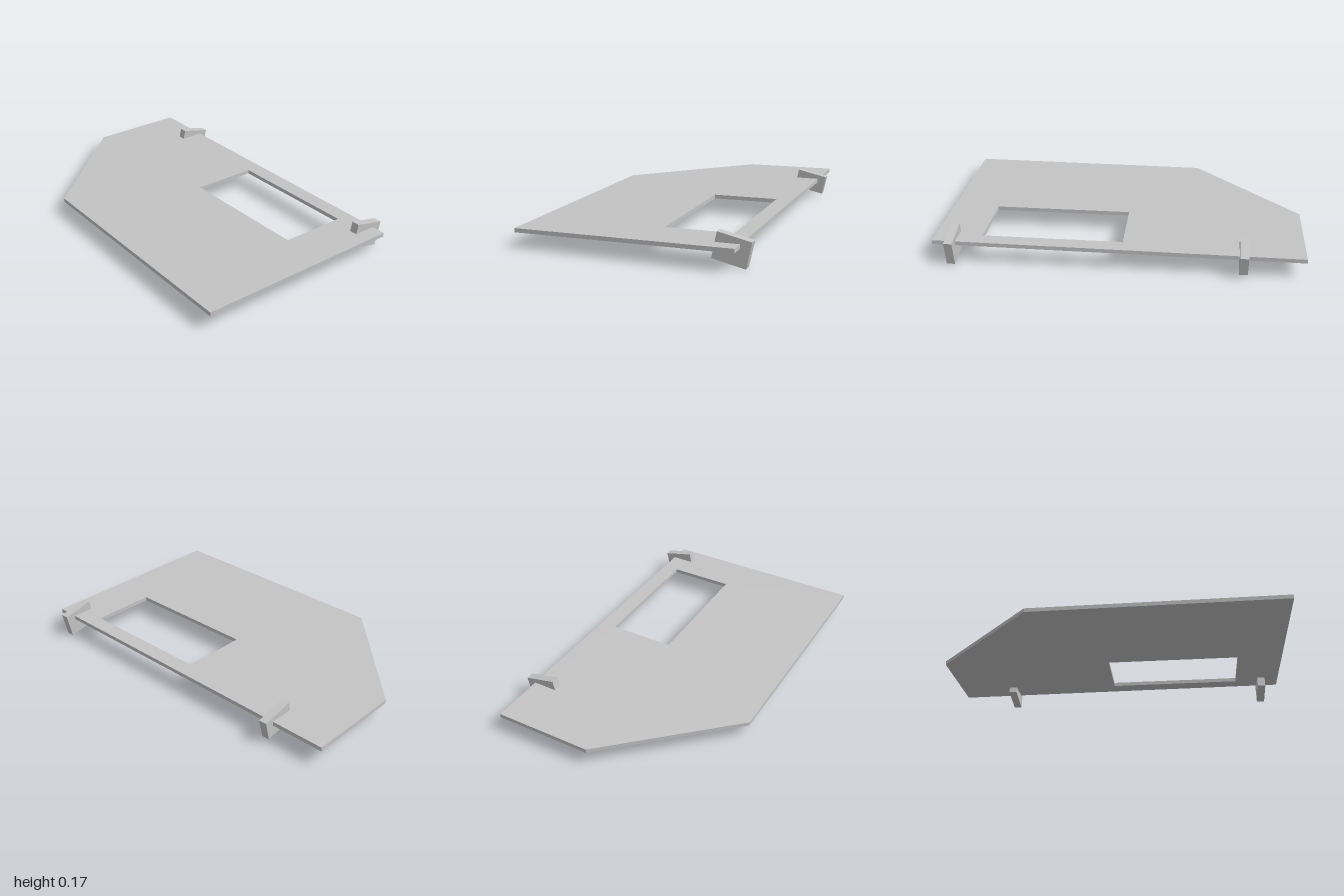
import * as THREE from 'three';

export function createModel() {
  const model = new THREE.Group();
  model.name = 'cutPanel';
  const grey = new THREE.MeshStandardMaterial({ color: 0xc4c4c4 });
  grey.name = 'light grey';

  // Flat panel: outline and window given as [x, z], with the far left corner cut off
  const points = list => list.map(([x, z]) => new THREE.Vector2(x, -z));
  const outline = new THREE.Shape(points([
    [-0.607, 1], [0.561, 0.988], [0.546, -1], [0.003, -0.996], [-0.618, -0.396],
  ]));
  outline.holes.push(new THREE.Path(points([
    [0.09, -0.026], [0.461, -0.029], [0.473, 0.732], [0.104, 0.736],
  ])));
  const thickness = 0.022;
  const panelGeometry = new THREE.ExtrudeGeometry(outline, { depth: thickness, bevelEnabled: false });
  panelGeometry.rotateX(-Math.PI / 2);

  // Slight tilt, rising to the left side and to the front
  const position = panelGeometry.attributes.position;
  for (let i = 0; i < position.count; i++) {
    const rise = 0.09 + 0.0154 * position.getX(i) + 0.004 * position.getZ(i);
    position.setY(i, position.getY(i) + rise);
  }
  panelGeometry.computeVertexNormals();
  const panel = new THREE.Mesh(panelGeometry, grey);
  panel.name = 'panel';
  model.add(panel);

  // Tilted lugs set through the straight edge
  const addLug = (name, height, x, y, z) => {
    const lug = new THREE.Mesh(new THREE.BoxGeometry(0.178, height, 0.045), grey);
    lug.name = name;
    lug.position.set(x, y, z);
    lug.rotation.set(0, 0.0075, -0.21);
    model.add(lug);
  };
  addLug('frontLug', 0.138, 0.518, 0.0895, 0.886);
  addLug('backLug', 0.11, 0.501, 0.096, -0.674);

  return model;
}
